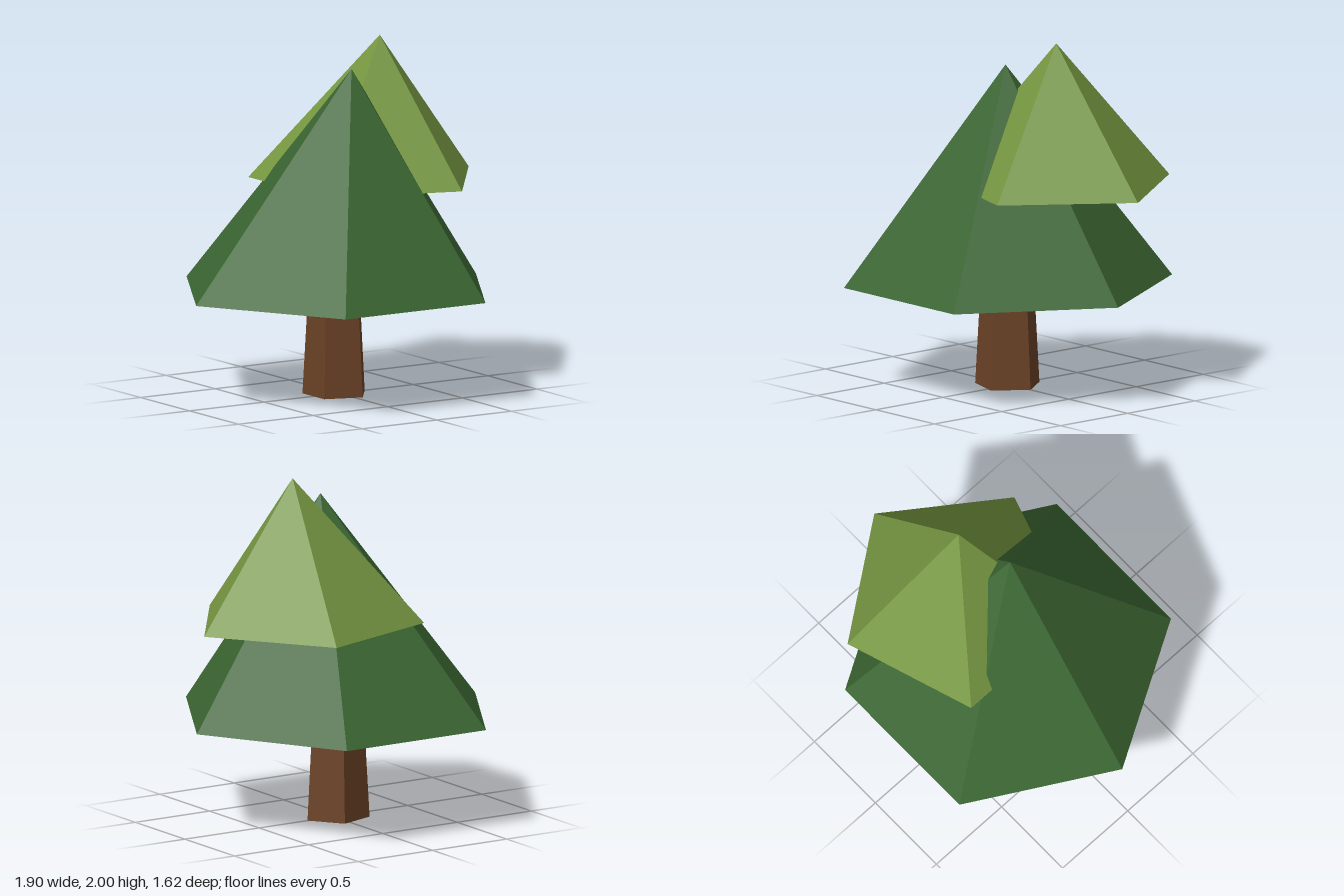
import * as THREE from 'three';

const paint = (name, color) => {
  const material = new THREE.MeshStandardMaterial({ color });
  material.name = name;
  return material;
};

// Faceted frustum with a corner on +x; its top centre can lean away from its base centre.
function facetedPart(name, material, sides, bottom, top) {
  const height = top.y - bottom.y;
  const base = new THREE.CylinderGeometry(top.r, bottom.r, height, sides, 1, false, Math.PI / 2);
  base.translate(0, height / 2, 0);
  const pos = base.attributes.position;
  for (let i = 0; i < pos.count; i++) {
    const t = pos.getY(i) / height;
    pos.setX(i, pos.getX(i) + t * (top.x - bottom.x));
    pos.setZ(i, pos.getZ(i) + t * (top.z - bottom.z));
  }
  // Separate the faces so every facet is flat
  const geometry = base.toNonIndexed();
  geometry.computeVertexNormals();
  const mesh = new THREE.Mesh(geometry, material);
  mesh.name = name;
  mesh.position.set(bottom.x, bottom.y, bottom.z);
  return mesh;
}

export function createModel() {
  const bark = paint('bark brown', 0x6b4226);
  const forest = paint('forest green', 0x3b6632);
  const moss = paint('moss green', 0x759641);

  const tree = new THREE.Group();
  tree.name = 'tree';
  tree.add(
    // Five-sided tapering trunk
    facetedPart('trunk', bark, 5,
      { x: -0.016, y: 0, z: 0, r: 0.19 }, { x: -0.017, y: 0.62, z: 0, r: 0.155 }),
    // Broad six-sided lower foliage
    facetedPart('lowerFoliage', forest, 6,
      { x: -0.018, y: 0.592, z: 0, r: 0.937 }, { x: 0.04, y: 1.853, z: 0.07, r: 0 }),
    // Smaller five-sided foliage, set off to the back and side
    facetedPart('upperFoliage', moss, 5,
      { x: 0.277, y: 1.18, z: -0.12, r: 0.673 }, { x: 0.318, y: 2, z: -0.065, r: 0 }),
  );
  return tree;
}
